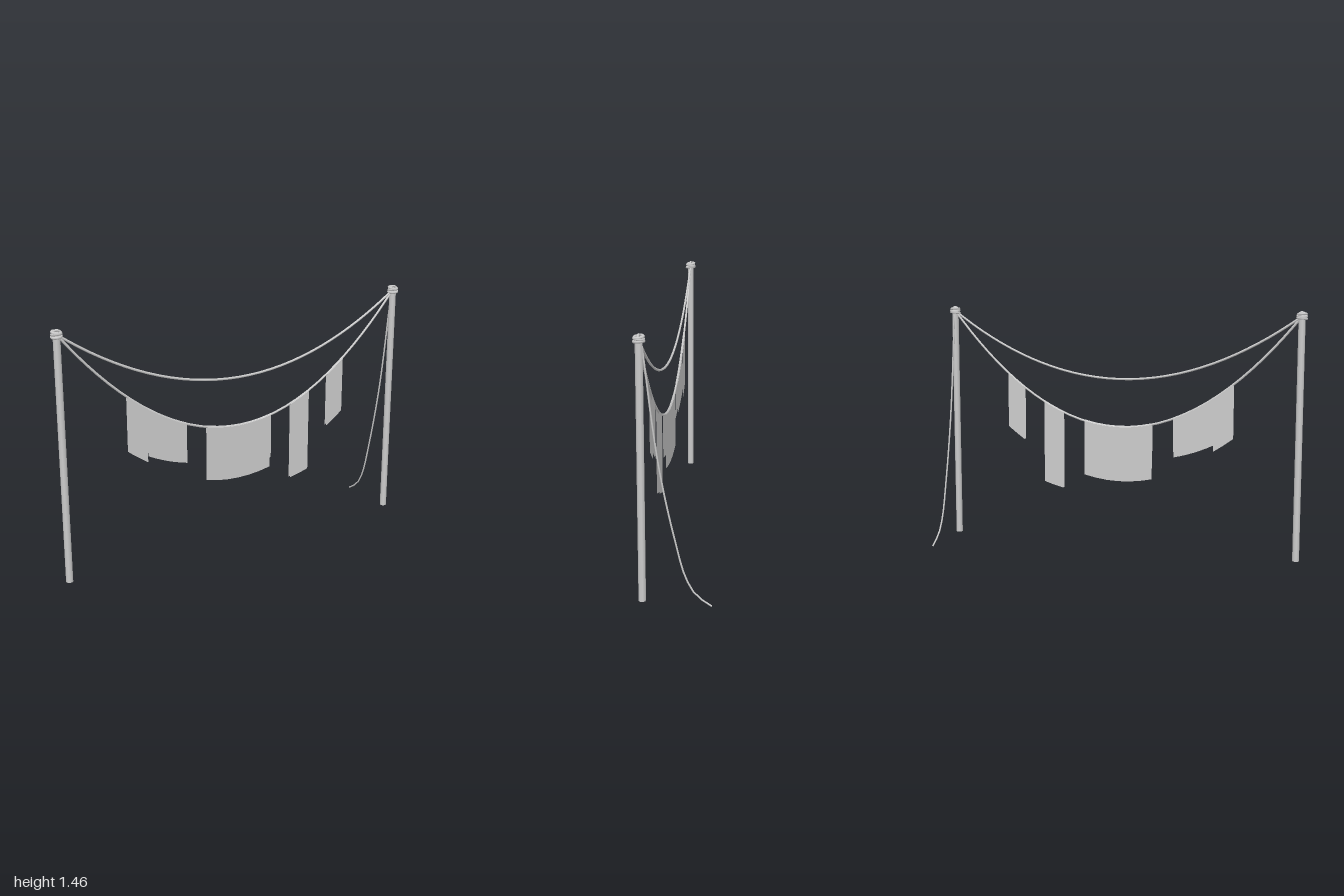
import * as THREE from 'three';

const LEFT_END = new THREE.Vector3(-0.965, 1.43, 0.638);
const RIGHT_END = new THREE.Vector3(0.958, 1.43, -0.348);
const ROPE_R = 0.007;
const DROP = 0.68; // sag of the washing line

const mat = new THREE.MeshStandardMaterial({ color: 0xcccccc });
const clothMat = new THREE.MeshStandardMaterial({ color: 0xcccccc, side: THREE.DoubleSide });

// Point on a line slung between the poles, sagging as a parabola
function sagPoint(t, sag) {
  const p = LEFT_END.clone().lerp(RIGHT_END, t);
  p.y -= sag * 4 * t * (1 - t);
  return p;
}

function add(group, name, geometry, material = mat) {
  const mesh = new THREE.Mesh(geometry, material);
  mesh.name = name;
  group.add(mesh);
  return mesh;
}

function rope(points, radius, segments) {
  return new THREE.TubeGeometry(new THREE.CatmullRomCurve3(points), segments, radius, 6);
}

function slungRope(sag) {
  const points = [];
  for (let i = 0; i <= 20; i++) points.push(sagPoint(i / 20, sag));
  return rope(points, ROPE_R, 32);
}

// Sheet folded over the washing line from x0 to x1; front and back give
// the hanging length at each of the two ends
function clothGeometry(x0, x1, front, back) {
  const along = RIGHT_END.clone().sub(LEFT_END).normalize();
  const normal = new THREE.Vector3(-along.z, 0, along.x);
  const columns = 6, rows = 5;
  const pos = [], index = [];
  for (let i = 0; i <= columns; i++) {
    const k = i / columns;
    const x = x0 + (x1 - x0) * k;
    const top = sagPoint((x - LEFT_END.x) / (RIGHT_END.x - LEFT_END.x), DROP);
    const f = THREE.MathUtils.lerp(front[0], front[1], k);
    const b = THREE.MathUtils.lerp(back[0], back[1], k);
    const section = [[0.0075, -f], [0.0075, 0], [0, 0.0085], [-0.0075, 0], [-0.0075, -b]];
    for (const [out, y] of section) {
      pos.push(top.x + normal.x * out, top.y + y, top.z + normal.z * out);
    }
  }
  for (let i = 0; i < columns; i++) {
    for (let j = 0; j < rows - 1; j++) {
      const a = i * rows + j, c = a + rows;
      index.push(a, c, a + 1, c, c + 1, a + 1);
    }
  }
  const g = new THREE.BufferGeometry();
  g.setAttribute('position', new THREE.Float32BufferAttribute(pos, 3));
  g.setIndex(index);
  const flat = g.toNonIndexed();
  flat.computeVertexNormals();
  return flat;
}

// Pole with rope wound round its top
function makePole(end, name) {
  const group = new THREE.Group();
  group.name = name;
  group.position.set(end.x, 0, end.z);
  add(group, 'pole', new THREE.CylinderGeometry(0.02, 0.02, 1.42, 8)).position.y = 0.73;
  const turns = [[1.42, 0.1, 0.06], [1.433, -0.12, 0.1], [1.442, 0.08, -0.14]];
  turns.forEach(([y, tiltX, tiltZ], i) => {
    const ring = add(group, 'ropeTurn', new THREE.TorusGeometry(0.026 - i * 0.001, 0.008, 6, 14).rotateX(Math.PI / 2));
    ring.position.y = y;
    ring.rotation.set(tiltX, 0, tiltZ);
  });
  // Loose end tied across the top
  const knot = [[-0.022, 1.44, 0.008], [-0.008, 1.451, 0.003], [0.008, 1.452, -0.003], [0.022, 1.44, -0.008]];
  add(group, 'knot', rope(knot.map((p) => new THREE.Vector3(...p)), ROPE_R, 8));
  return group;
}

export function createModel() {
  const model = new THREE.Group();
  model.name = 'washingLine';
  model.add(makePole(LEFT_END, 'rightPole'), makePole(RIGHT_END, 'leftPole'));

  add(model, 'upperRope', slungRope(0.39));
  add(model, 'lowerRope', slungRope(DROP));

  // Loose rope trailing from one pole to the ground: [share of reach, height]
  const reach = new THREE.Vector2(-0.168, -0.327);
  const trail = [[0.03, 1.43], [0.08, 1.28], [0.17, 0.99], [0.25, 0.78], [0.35, 0.58],
    [0.47, 0.38], [0.62, 0.17], [0.77, 0.07], [1, 0.008]];
  add(model, 'trailingRope', rope(trail.map(([s, y]) =>
    new THREE.Vector3(RIGHT_END.x + reach.x * s, y, RIGHT_END.z + reach.y * s)), 0.005, 24));

  // Laundry: name, x range, front lengths, back lengths
  const laundry = [
    ['clothFlap', -0.625, -0.523, [0.32, 0.314], [0.32, 0.314]],
    ['wideCloth', -0.522, -0.305, [0.278, 0.233], [0.243, 0.198]],
    ['blanket', -0.188, 0.191, [0.265, 0.265], [0.33, 0.33]],
    ['longTowel', 0.314, 0.425, [0.468, 0.495], [0.468, 0.495]],
    ['smallTowel', 0.541, 0.638, [0.325, 0.33], [0.325, 0.33]],
  ];
  for (const [name, x0, x1, front, back] of laundry) {
    add(model, name, clothGeometry(x0, x1, front, back), clothMat);
  }
  return model;
}
